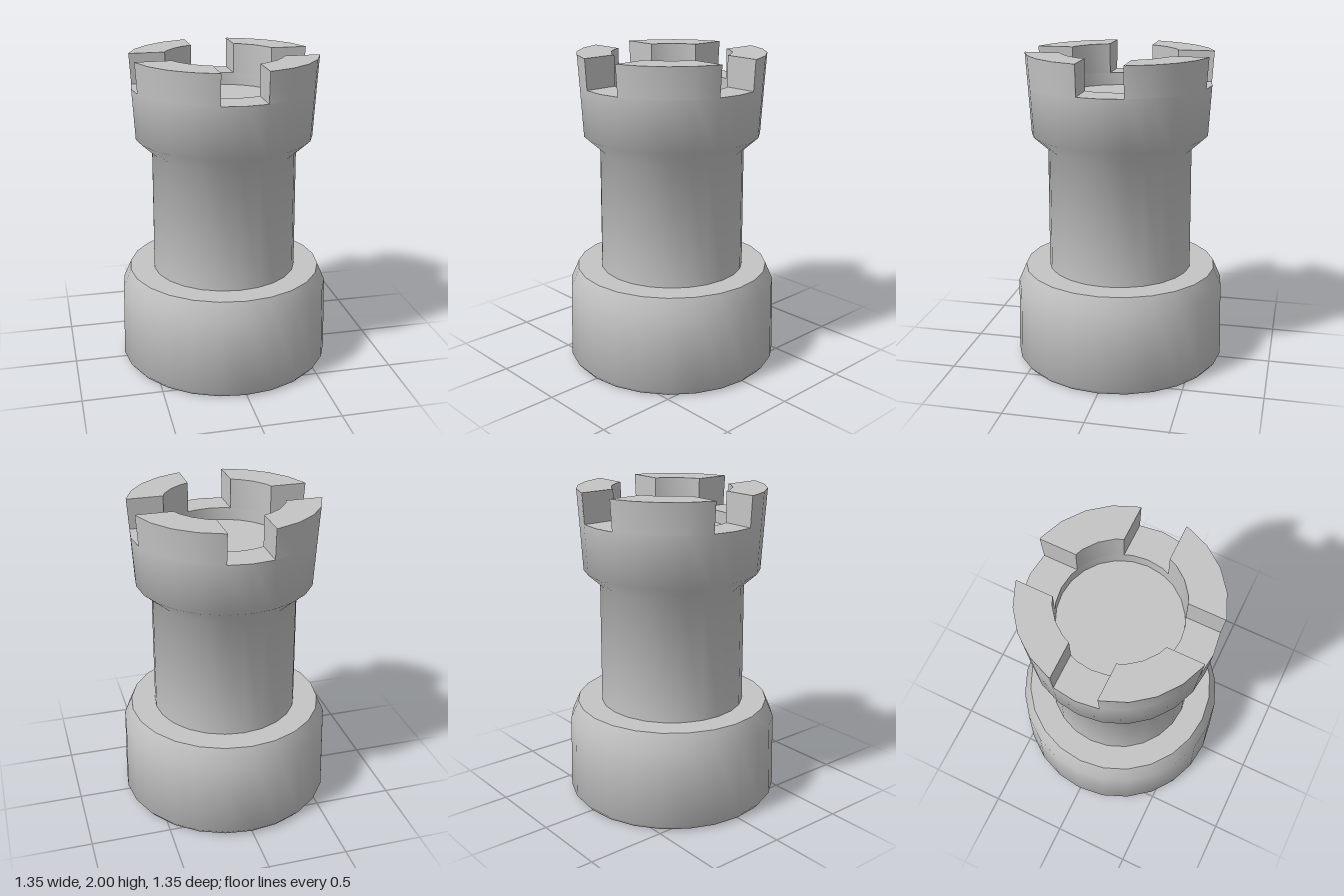
import * as THREE from 'three';
import { toCreasedNormals } from 'three/addons/utils/BufferGeometryUtils.js';

const SIDES = 24;
const STEP = (Math.PI * 2) / SIDES;
const GAP = 0.14;      // half width of each battlement gap
const FLOOR = 1.81;    // height of the gap floor
const FLARE = 0.012;   // outward lean of the battlements
const CREASE = 0.96;

const stone = new THREE.MeshStandardMaterial({ color: 0xc4c4c4 });
stone.name = 'grey';

function addMesh(parent, name, geometry) {
  const mesh = new THREE.Mesh(toCreasedNormals(geometry, CREASE), stone);
  mesh.name = name;
  parent.add(mesh);
  return mesh;
}

function lathe(profile) {
  return new THREE.LatheGeometry(profile.map(([r, y]) => new THREE.Vector2(r, y)), SIDES);
}

// One quarter of a 24-sided ring, trimmed at both ends by the gap planes
function quarterArc(r) {
  const ring = [];
  for (let i = 0; i <= SIDES / 4; i++) {
    ring.push(new THREE.Vector2(r * Math.cos(i * STEP), r * Math.sin(i * STEP)));
  }
  const k = ring.findIndex((p) => p.y > GAP);
  const t = (GAP - ring[k - 1].y) / (ring[k].y - ring[k - 1].y);
  const end = ring[k - 1].clone().lerp(ring[k], t);
  return [end, ...ring.filter((p) => p.x > GAP && p.y > GAP), new THREE.Vector2(end.y, end.x)];
}

// Battlement block with parallel gap sides and a slightly flared outer face
function merlonGeometry() {
  const outline = [...quarterArc(0.573), ...quarterArc(0.372).reverse()];
  const geometry = new THREE.ExtrudeGeometry(new THREE.Shape(outline), {
    depth: 2 - FLOOR, bevelEnabled: false,
  });
  const pos = geometry.attributes.position;
  for (let i = 0; i < pos.count; i++) {
    const x = pos.getX(i), y = pos.getY(i), r = Math.hypot(x, y);
    if (r < 0.5 || pos.getZ(i) < 0.01) continue;
    if (Math.abs(x - GAP) > 0.001) pos.setX(i, x + (FLARE * x) / r);
    if (Math.abs(y - GAP) > 0.001) pos.setY(i, y + (FLARE * y) / r);
  }
  geometry.rotateX(-Math.PI / 2);
  geometry.translate(0, FLOOR, 0);
  return geometry;
}

export function createModel() {
  const tower = new THREE.Group();
  tower.name = 'rook';

  // Heavy foot with chamfered rims
  addMesh(tower, 'base', lathe([
    [0, 0], [0.652, 0], [0.676, 0.03], [0.665, 0.51], [0.615, 0.625], [0.458, 0.625],
  ]));

  // Shaft, widening head and recessed platform
  addMesh(tower, 'shaftAndHead', lathe([
    [0.46, 0.625], [0.455, 1.405], [0.555, 1.495], [0.573, FLOOR],
    [0.372, FLOOR], [0.372, 1.73], [0, 1.73],
  ]));

  // Four battlements
  const battlements = new THREE.Group();
  battlements.name = 'battlements';
  const merlon = merlonGeometry();
  for (let i = 0; i < 4; i++) {
    addMesh(battlements, 'merlon', merlon).rotation.y = (i * Math.PI) / 2;
  }
  tower.add(battlements);

  return tower;
}
